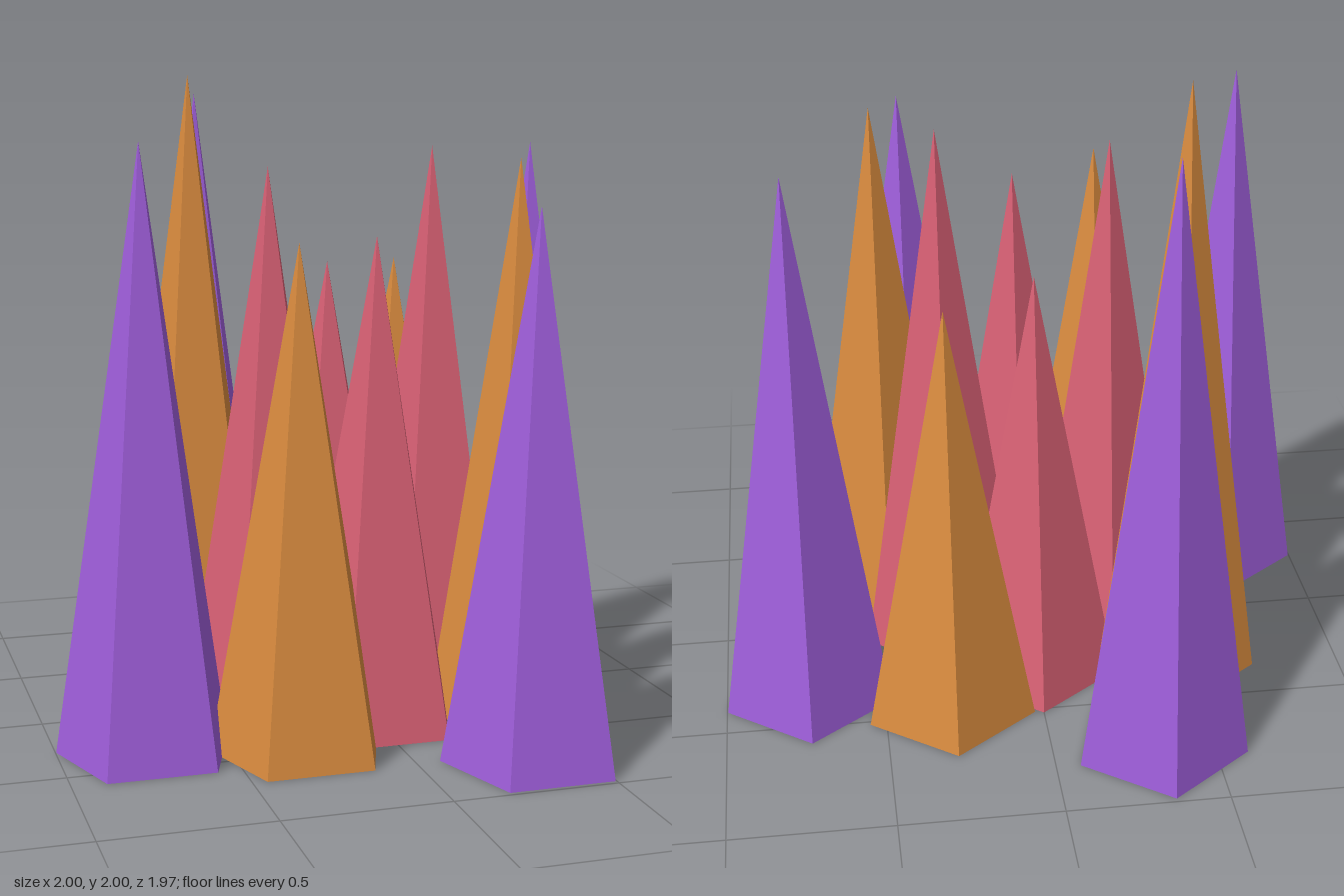
import * as THREE from 'three';

const RADIUS = 0.275;

const material = (name, color) => {
  const m = new THREE.MeshStandardMaterial({ color, flatShading: true });
  m.name = name;
  return m;
};

// Rings of spikes from the centre outwards; each spike is [x, z, height]
const rings = [
  { name: 'innerSpike', color: ['rose', 0xd86074], spikes: [
    [0, 0.288, 1.52], [0.268, 0.02, 1.78], [0, -0.247, 1.4], [-0.268, 0.02, 1.72]] },
  { name: 'middleSpike', color: ['amber', 0xd98b3e], spikes: [
    [0.45, 0.318, 1.75], [0.29, -0.43, 1.39], [-0.455, -0.268, 2.0], [-0.295, 0.478, 1.52]] },
  { name: 'outerSpike', color: ['violet', 0x9f5edb], spikes: [
    [0.335, 0.762, 1.63], [0.736, -0.311, 1.78], [-0.337, -0.711, 1.94], [-0.736, 0.362, 1.81]] },
];

export function createModel() {
  const model = new THREE.Group();
  model.name = 'spikeCluster';

  for (const ring of rings) {
    const mat = material(...ring.color);
    ring.spikes.forEach(([x, z, height], i) => {
      // Five-sided pyramid with one corner pointing to the back
      const geometry = new THREE.ConeGeometry(RADIUS, height, 5);
      geometry.rotateY(Math.PI);
      const spike = new THREE.Mesh(geometry, mat);
      spike.name = `${ring.name}${i + 1}`;
      spike.position.set(x, height / 2, z);
      model.add(spike);
    });
  }
  return model;
}
